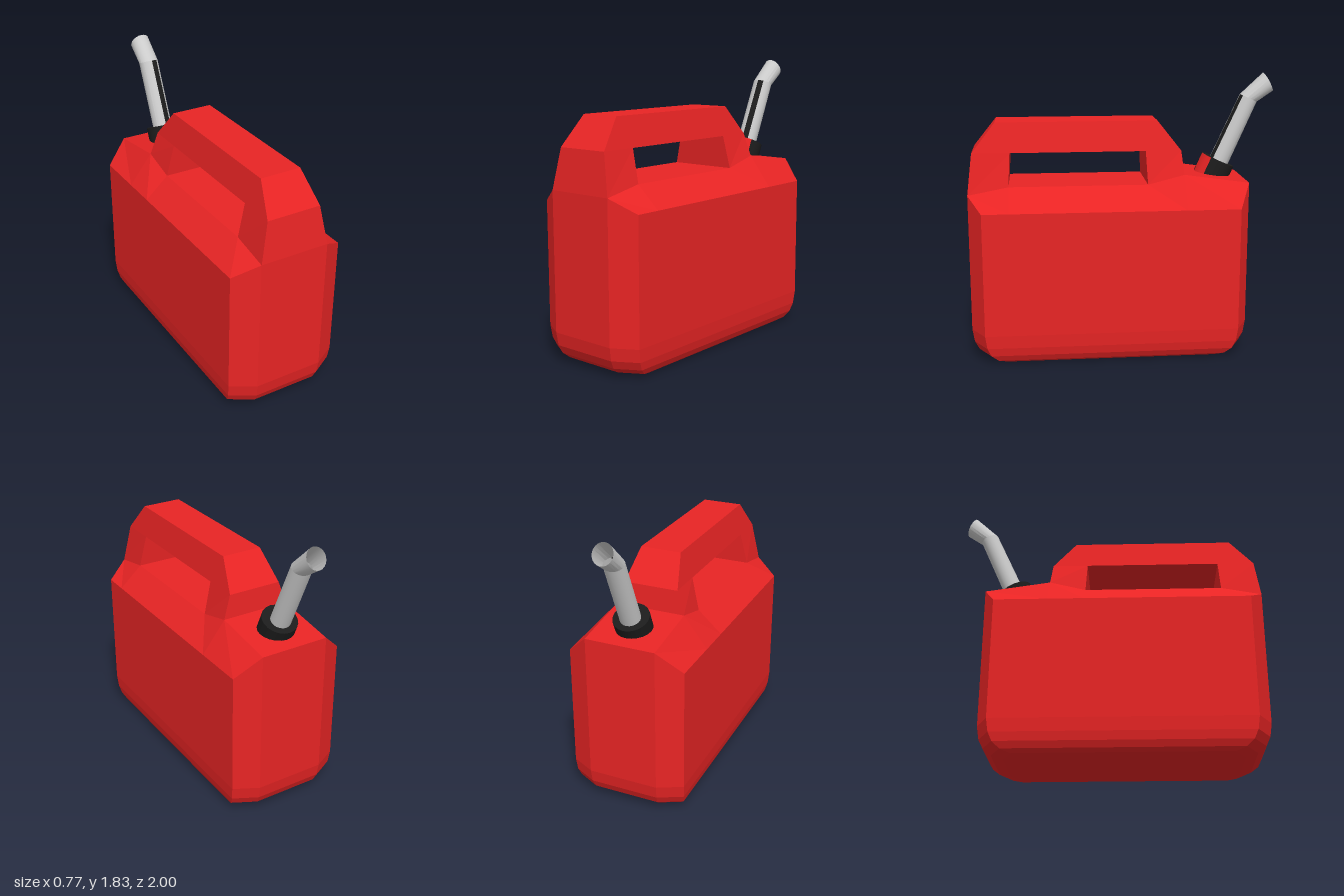
import * as THREE from 'three';
import { toCreasedNormals } from 'three/addons/utils/BufferGeometryUtils.js';

const red = new THREE.MeshStandardMaterial({ color: 0xe82424 });
const redThin = new THREE.MeshStandardMaterial({ color: 0xe82424, side: THREE.DoubleSide });
const black = new THREE.MeshStandardMaterial({ color: 0x1c1c1c, side: THREE.DoubleSide });
const grey = new THREE.MeshStandardMaterial({ color: 0xcccccc, side: THREE.DoubleSide });

// Skin a grid of points: rows of [x, y, z], optionally closed around each row
function surface(name, rows, material, { closed = false, crease = 0.02 } = {}) {
  const grid = closed ? rows.map(r => [...r, r[0]]) : rows;
  const n = grid[0].length;
  const index = [];
  for (let i = 0; i < grid.length - 1; i++) {
    for (let j = 0; j < n - 1; j++) {
      const a = i * n + j, b = a + 1, c = b + n, d = a + n;
      index.push(a, b, c, a, c, d);
    }
  }
  const geometry = new THREE.BufferGeometry();
  geometry.setAttribute('position', new THREE.Float32BufferAttribute(grid.flat(2), 3));
  geometry.setIndex(index);
  const mesh = new THREE.Mesh(toCreasedNormals(geometry, crease), material);
  mesh.name = name;
  return mesh;
}

// Leaning tube: each ring is [frontZ, frontY, backZ, backY, radius];
// from/to select a range of the segments, counted from the front towards +x
const SEGMENTS = 20;
function tube(name, rings, material, from = 0, to = SEGMENTS) {
  const rows = rings.map(([fz, fy, bz, by, r]) => {
    const row = [];
    for (let i = from; i <= to; i++) {
      const t = (i / SEGMENTS) * Math.PI * 2;
      const k = Math.cos(t) / 2;
      row.push([r * Math.sin(t), (fy + by) / 2 + k * (fy - by), (fz + bz) / 2 + k * (fz - bz)]);
    }
    return row;
  });
  return surface(name, rows, material, { crease: 0.35 });
}

export function createModel() {
  const model = new THREE.Group();
  model.name = 'fuelCan';

  // Tank walls: chamfered plan with a rounded underside
  const plan = [[-0.23, 1], [0.23, 1], [0.385, 0.91], [0.385, -0.73],
    [0.23, -0.81], [-0.23, -0.81], [-0.385, -0.73], [-0.385, 0.91]];
  const zMid = 0.095;
  const levels = [[0, 0], [0, 0.82], [0.02, 0.9], [0.06, 0.955], [0.115, 0.985], [0.2, 1]];
  const walls = levels.map(([y, s]) => plan.map(([x, z]) => [x * s, y, zMid + (z - zMid) * s]));
  const rim = [1.09, 1.09, 1, 1, 1.14, 1.14, 1, 1];
  walls.push(plan.map(([x, z], i) => [x, rim[i], z]));
  model.add(surface('tankWalls', walls, red, { closed: true }));

  // Tank top: flat deck with sloping shoulders; stations [shoulderZ, ridgeZ, ridgeY]
  const stations = [[0.91, 1, 1.09], [0.74, 0.74, 1.14], [-0.15, -0.15, 1.14],
    [-0.385, -0.385, 1.2], [-0.73, -0.81, 1.14]];
  model.add(surface('tankTop', stations.map(([sz, z, y]) =>
    [[-0.385, 1, sz], [-0.23, y, z], [0.23, y, z], [0.385, 1, sz]]), red));

  // Handle: sections [outerZ, outerY, innerZ, innerY], narrowing upwards
  const halfWidth = y => (y > 1.5 ? 0.135 : y > 1.3 ? 0.18 : 0.23);
  const sections = [[1, 1.09, 0.74, 1.14], [0.97, 1.35, 0.73, 1.35], [0.82, 1.54, 0.73, 1.35],
    [-0.22, 1.54, -0.14, 1.35], [-0.37, 1.35, -0.14, 1.35], [-0.385, 1.2, -0.15, 1.14]];
  model.add(surface('handle', sections.map(([oz, oy, iz, iy]) => {
    const o = halfWidth(oy), i = halfWidth(iy);
    return [[-o, oy, oz], [o, oy, oz], [i, iy, iz], [-i, iy, iz]];
  }), red, { closed: true }));

  // Collar around the spout, with a red patch in its wall
  const collar = [[-0.483, 1.178, -0.693, 1.083, 0.115], [-0.54, 1.305, -0.75, 1.21, 0.115]];
  model.add(tube('collarWall', collar, black, 3));
  model.add(tube('collarPatch', collar, redThin, 0, 3));
  model.add(tube('collarTop', [collar[1], [-0.645, 1.2575, -0.645, 1.2575, 0]], black));

  // Bent, open spout with a dark stripe up its front
  const base = [-0.571, 1.227, -0.689, 1.173, 0.066];
  const bend = [-0.785, 1.69, -0.895, 1.64, 0.066];
  const tip = [-0.935, 1.83, -1, 1.71, 0.066];
  model.add(tube('spoutPipe', [base, bend], grey, 2));
  model.add(tube('spoutStripe', [base, bend], black, 0, 2));
  model.add(tube('spoutTip', [bend, tip], grey));

  return model;
}
